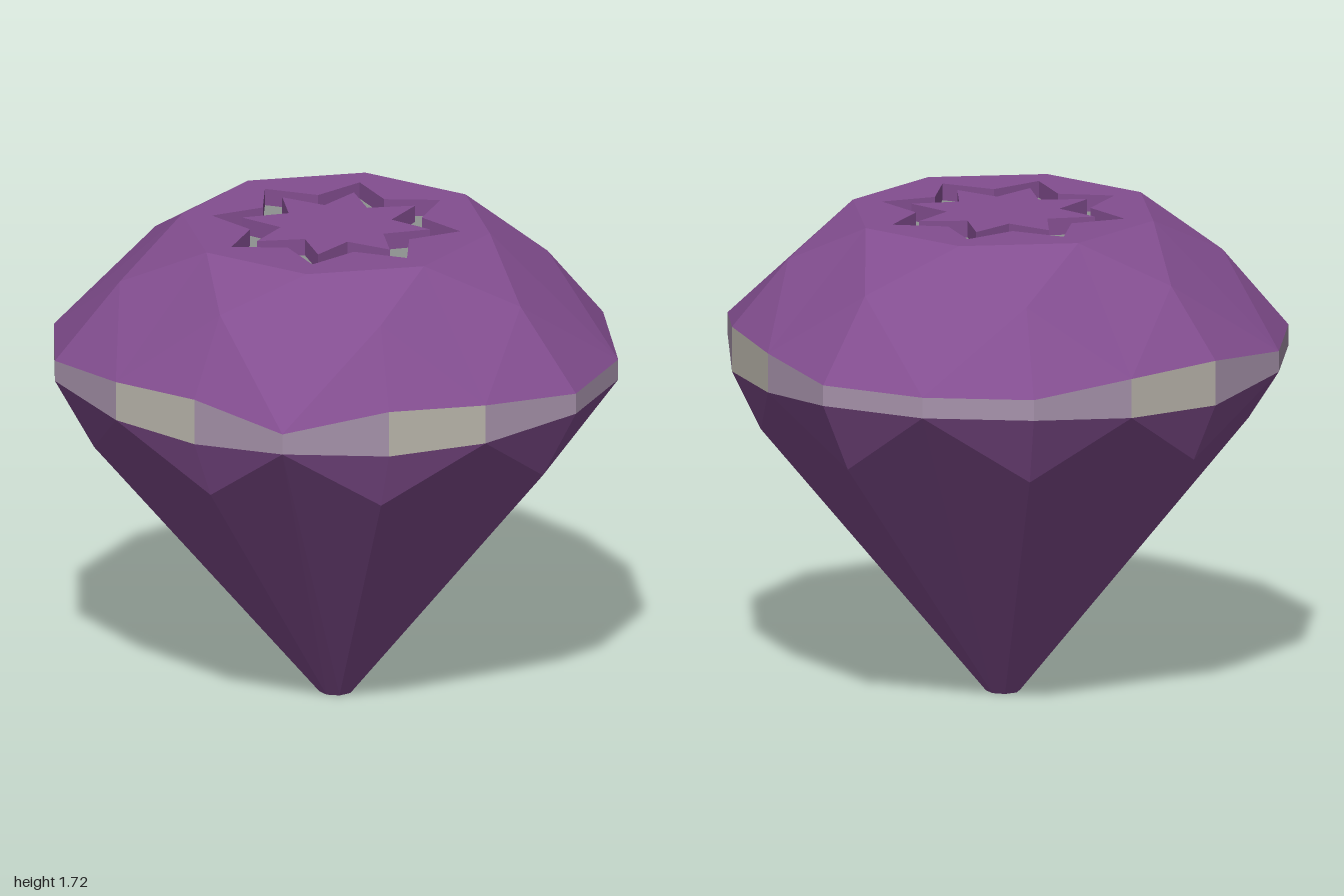
import * as THREE from 'three';

const TABLE_Y = 1.72, TABLE_R = 0.545, GIRDLE_Y = 1.247, GROOVE = 0.06;

// point at n sixteenths of a turn, counted from the front (+z) towards +x
const at = (n, r, y) => {
  const a = (n * Math.PI) / 8;
  return [r * Math.sin(a), y, r * Math.cos(a)];
};

// completes a half ring (front to back on +x) by mirroring it to -x
const mirrorRing = (half, count) =>
  Array.from({ length: count }, (_, i) => {
    if (i < half.length) return half[i];
    const [x, y, z] = half[count - i - (half.length * 2 === count ? 1 : 0)];
    return [-x, y, z];
  });

// flat-faced mesh from a list of triangles
function facets(name, triangles, material) {
  const geometry = new THREE.BufferGeometry();
  geometry.setAttribute('position', new THREE.Float32BufferAttribute(triangles.flat(2), 3));
  geometry.computeVertexNormals();
  const mesh = new THREE.Mesh(geometry, material);
  mesh.name = name;
  return mesh;
}

// outline lying on a level plane
function level(name, shape, y, material) {
  const geometry = new THREE.ShapeGeometry(shape).rotateX(-Math.PI / 2).translate(0, y, 0);
  const mesh = new THREE.Mesh(geometry, material);
  mesh.name = name;
  return mesh;
}

const flat = (points) => points.map(([x, , z]) => new THREE.Vector2(x, -z));

export function createModel() {
  const mat = (name, color) => {
    const m = new THREE.MeshStandardMaterial({ color, flatShading: true });
    m.name = name;
    return m;
  };
  const purple = mat('purple', 0x834e90);
  const mauve = mat('mauve', 0xa793ab);
  const pale = mat('pale grey', 0xb8b4aa);
  const grey = mat('grey', 0x8e9290);
  const gem = new THREE.Group();
  gem.name = 'gem';

  // wavy girdle: x, half height, z
  const girdle = mirrorRing([
    [0, 0.037, 0.995], [0.345, 0.082, 0.82], [0.655, 0.07, 0.655],
    [0.923, 0.037, 0.382], [1, 0.037, 0], [0.877, 0.08, -0.363],
    [0.66, 0.07, -0.66], [0.382, 0.037, -0.923], [0, 0.037, -0.998],
  ], 16);
  const top = girdle.map(([x, h, z]) => [x, GIRDLE_Y + h, z]);
  const low = girdle.map(([x, h, z]) => [x, GIRDLE_Y - h, z]);

  // facet corners: table, crown middle, pavilion middle, culet
  const table = [], culet = [];
  for (let k = 0; k < 8; k++) {
    table.push(at(2 * k, TABLE_R, TABLE_Y));
    culet.push(at(2 * k + 1, 0.06, 0));
  }
  const mid = mirrorRing([
    [0.285, 1.59, 0.66], [0.71, 1.56, 0.293], [0.695, 1.565, -0.29], [0.293, 1.56, -0.71],
  ], 8);
  const deep = mirrorRing([
    [0.302, 0.955, 0.745], [0.795, 0.955, 0.325], [0.785, 0.955, -0.318], [0.33, 0.955, -0.795],
  ], 8);

  const crown = [], pavilion = [], culetFace = [], band = { pale: [], mauve: [] };
  for (let k = 0; k < 8; k++) {
    const g = 2 * k, h = g + 1, e = (g + 2) % 16, n = (k + 1) % 8, p = (k + 7) % 8;
    crown.push(
      [table[k], mid[k], table[n]],
      [mid[k], top[g], top[h]], [mid[k], top[h], top[e]],
      [table[k], mid[p], top[g]], [table[k], top[g], mid[k]],
    );
    pavilion.push(
      [low[g], deep[k], low[h]], [low[h], deep[k], low[e]],
      [low[g], deep[p], culet[p]], [low[g], culet[p], culet[k]], [low[g], culet[k], deep[k]],
    );
    culetFace.push([[0, 0, 0], culet[n], culet[k]]);
  }

  // girdle band with four paler facets
  for (let i = 0; i < 16; i++) {
    const j = (i + 1) % 16;
    const list = [1, 5, 10, 14].includes(i) ? band.pale : band.mauve;
    list.push([low[i], low[j], top[j]], [low[i], top[j], top[i]]);
  }

  gem.add(
    facets('crown', crown, purple),
    facets('pavilion', pavilion, purple),
    facets('culet', culetFace, grey),
    facets('girdleBand', band.mauve, mauve),
    facets('girdlePaleFacets', band.pale, pale),
  );

  // star groove sunk into the table
  const star = (tip, notch) =>
    Array.from({ length: 16 }, (_, i) => at(i, i % 2 ? notch : tip, TABLE_Y));
  const outer = star(0.44, 0.305), inner = star(0.333, 0.197);
  const tableRim = new THREE.Shape(flat(table));
  tableRim.holes.push(new THREE.Path(flat(outer)));
  const floor = new THREE.Shape(flat(outer));
  floor.holes.push(new THREE.Path(flat(inner)));
  const sunk = ([x, y, z]) => [x, y - GROOVE, z];
  const walls = [];
  for (let i = 0; i < 16; i++) {
    const j = (i + 1) % 16;
    for (const [a, b] of [[inner[i], inner[j]], [outer[j], outer[i]]]) {
      walls.push([sunk(a), sunk(b), b], [sunk(a), b, a]);
    }
  }
  gem.add(
    level('tableRim', tableRim, TABLE_Y, purple),
    level('tableStar', new THREE.Shape(flat(inner)), TABLE_Y, purple),
    level('grooveFloor', floor, TABLE_Y - GROOVE, grey),
    facets('grooveWalls', walls, purple),
  );
  return gem;
}
